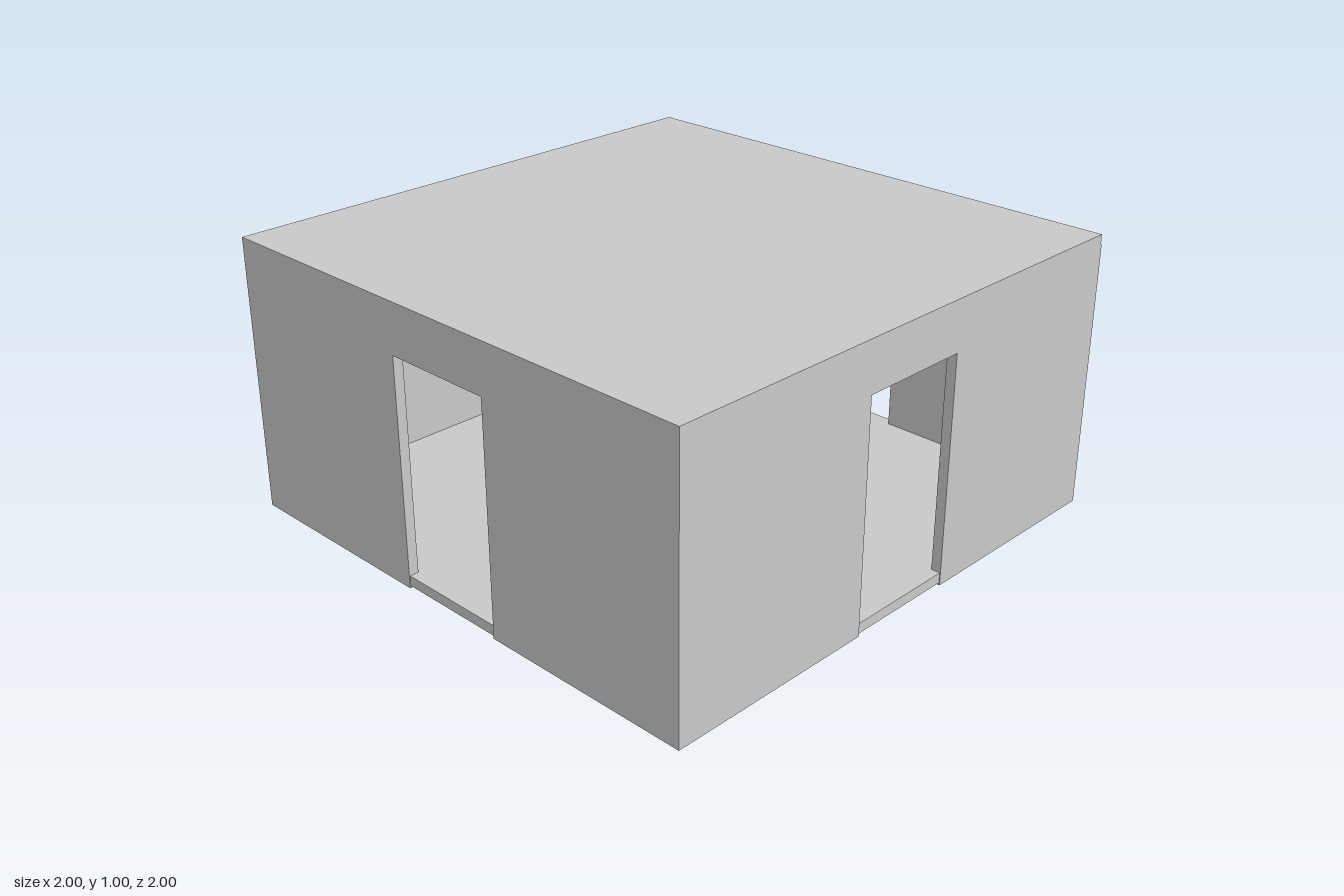
import * as THREE from 'three';

const T = 0.036; // panel thickness
const material = new THREE.MeshStandardMaterial({ color: 0xcccccc, flatShading: true });

// Upright panel from x0 to x1, extruded from z = 0 to T, with an optional doorway
function panel(x0, x1, top, door) {
  const points = [[x0, 0]];
  if (door) points.push([-0.208, 0], [-0.208, 0.82], [0.208, 0.82], [0.208, 0]);
  points.push([x1, 0], [x1, top], [x0, top]);
  const shape = new THREE.Shape(points.map(([x, y]) => new THREE.Vector2(x, y)));
  return new THREE.ExtrudeGeometry(shape, { depth: T, bevelEnabled: false });
}

// Horizontal slab given by its extents
function slab(halfX, y0, y1, z0, z1) {
  return new THREE.BoxGeometry(2 * halfX, y1 - y0, z1 - z0)
    .translate(0, (y0 + y1) / 2, (z0 + z1) / 2);
}

export function createModel() {
  const room = new THREE.Group();
  room.name = 'room';
  const add = (name, geometry) => {
    const mesh = new THREE.Mesh(geometry, material);
    mesh.name = name;
    room.add(mesh);
  };
  const wallTop = 1 - T;

  // Floor, slightly raised and recessed inside the walls, and flat ceiling
  add('floor', slab(0.997, 0.008, 0.045, -0.992, 0.997));
  add('ceiling', slab(1, wallTop, 1, -0.995, 1 - T));

  // Front wall covers the full width and height
  add('frontWall', panel(-1, 1, 1, true).translate(0, 0, 1 - T));

  // Back wall sits between the side walls, just behind their ends
  add('backWall', panel(-1 + T, 1 - T, wallTop, true).translate(0, 0, -0.995));

  // Side walls: a doorway on the left, solid on the right
  add('leftWall', panel(-1 + T, 1, wallTop, true)
    .rotateY(Math.PI / 2).translate(1 - T, 0, 0));
  add('rightWall', panel(-1 + T, 1, wallTop, false)
    .rotateY(Math.PI / 2).translate(-1, 0, 0));

  return room;
}
